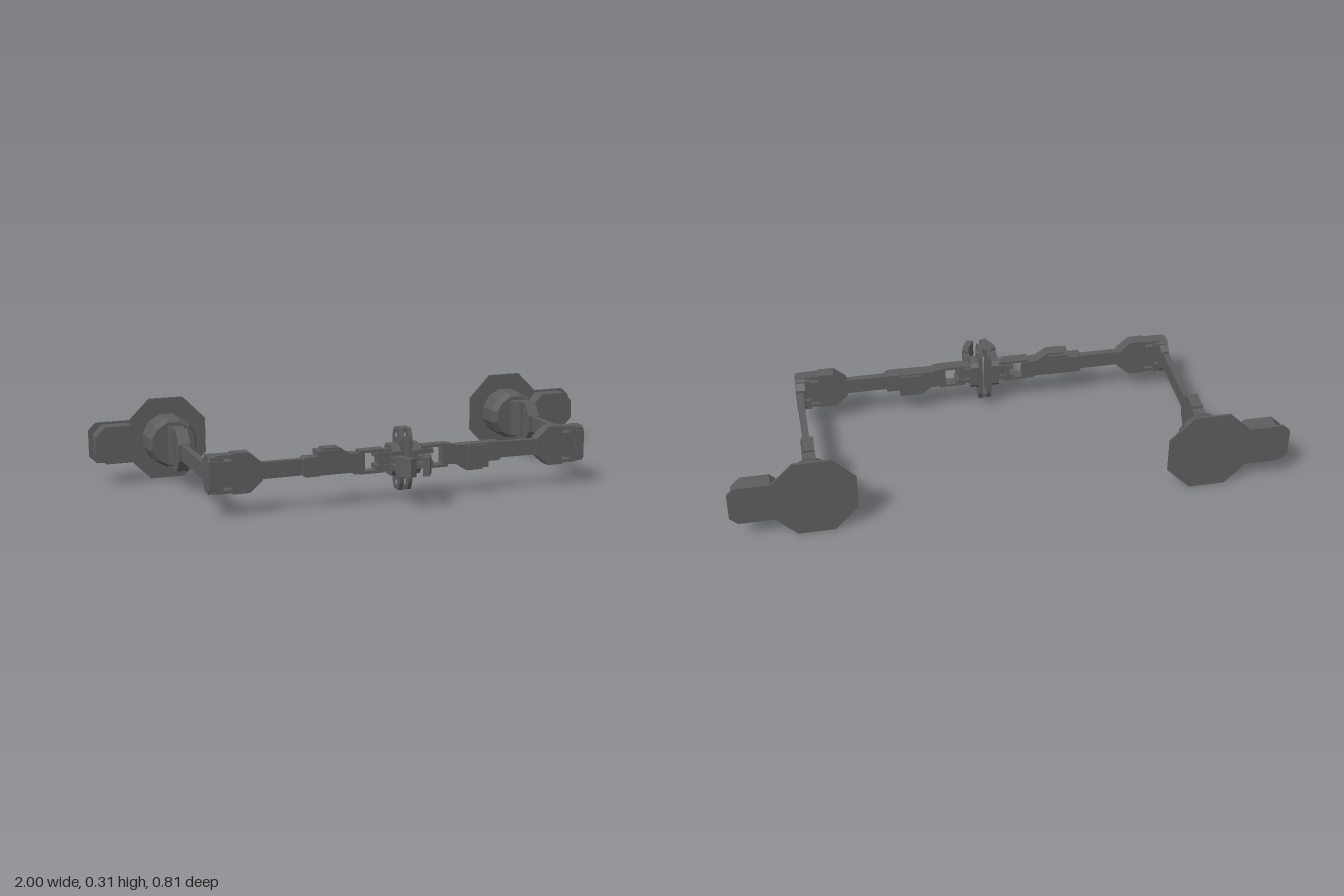
import * as THREE from 'three';

const gunmetal = new THREE.MeshStandardMaterial({ color: 0x5c5c5c });
gunmetal.name = 'gunmetal';

const MID_Y = 0.153; // height of the arm axis
const ARM_X = 0.705; // line of the upper arm
const FORE_Z = 0.234; // line of the forearm

function outline(points, holes = []) {
  const shape = new THREE.Shape(points.map(([a, b]) => new THREE.Vector2(a, b)));
  for (const [a, b, w, h] of holes) {
    shape.holes.push(new THREE.Path([
      new THREE.Vector2(a - w, b - h), new THREE.Vector2(a - w, b + h),
      new THREE.Vector2(a + w, b + h), new THREE.Vector2(a + w, b - h)]));
  }
  return shape;
}

// Rectangle with cut corners, by centre and half sizes
function cutRect(a, b, w, h, c) {
  return [[a - w + c, b - h], [a + w - c, b - h], [a + w, b - h + c], [a + w, b + h - c],
    [a + w - c, b + h], [a - w + c, b + h], [a - w, b + h - c], [a - w, b - h + c]];
}

// Upper half of a profile, mirrored across b = 0
function mirrored(half) {
  return [...half, ...half.map(([a, b]) => [a, -b]).reverse()];
}

function createArm() {
  const arm = new THREE.Group();
  const add = (name, geometry) => {
    const mesh = new THREE.Mesh(geometry, gunmetal);
    mesh.name = name;
    arm.add(mesh);
    return mesh;
  };
  const box = (name, x0, x1, y0, y1, z0, z1) =>
    add(name, new THREE.BoxGeometry(x1 - x0, y1 - y0, z1 - z0)
      .translate((x0 + x1) / 2, (y0 + y1) / 2, (z0 + z1) / 2));
  // Profiles extruded between two values along one axis
  const prism = (name, axis, points, from, to, holes) => {
    const g = new THREE.ExtrudeGeometry(outline(points, holes), { depth: to - from, bevelEnabled: false });
    if (axis === 'z') g.translate(0, 0, from); // points are x, y
    if (axis === 'x') g.rotateY(-Math.PI / 2).translate(to, 0, 0); // points are z, y
    if (axis === 'y') g.rotateX(Math.PI / 2).translate(0, to, 0); // points are x, z
    return add(name, g);
  };
  const barrel = (name, axis, r0, r1, from, to, x, y, z, sides) => {
    const g = new THREE.CylinderGeometry(r1, r0, to - from, sides).toNonIndexed();
    g.computeVertexNormals();
    g.rotateY(Math.PI / sides).translate(0, (from + to) / 2, 0);
    if (axis === 'z') g.rotateX(Math.PI / 2);
    return add(name, g.translate(x, y, z));
  };

  // Mounting plate: octagon with a side tab
  prism('mountingPlate', 'z', [
    [0.555, -0.066], [0.64, -0.153], [0.77, -0.153], [0.846, -0.077], [0.972, -0.077], [1, -0.05],
    [1, 0.05], [0.972, 0.077], [0.846, 0.077], [0.77, 0.153], [0.64, 0.153], [0.555, 0.066],
  ], -0.405, -0.396);
  prism('controlBox', 'z', cutRect(0.9, 0, 0.085, 0.07, 0.035), -0.396, -0.335);

  // Round base motor with a bevelled front
  barrel('baseMotor', 'z', 0.096, 0.095, -0.396, -0.315, ARM_X, 0, 0, 12);
  barrel('baseMotorBevel', 'z', 0.095, 0.083, -0.315, -0.287, ARM_X, 0, 0, 12);

  // Shoulder: block, side straps and tapered socket
  box('shoulderBlock', 0.683, 0.727, -0.066, 0.066, -0.287, -0.197);
  for (const s of [-1, 1]) {
    const y = s * 0.071;
    box('shoulderStrap', 0.685, 0.725, y - 0.005, y + 0.005, -0.235, -0.17);
  }
  prism('shoulderSocket', 'x', mirrored([[-0.175, 0.077], [-0.16, 0.077], [-0.12, 0.031]]), 0.683, 0.727);
  box('upperArm', 0.694, 0.717, -0.029, 0.029, -0.125, 0.19);

  // Elbow: end cap on the upper arm, then yoke and socket of the forearm
  prism('elbowCap', 'x', mirrored([[0.175, 0.038], [0.203, 0.067], [0.245, 0.067], [0.262, 0.05]]), 0.684, 0.717);
  box('elbowBlock', 0.63, 0.69, -0.045, 0.045, 0.21, 0.256);
  for (const s of [-1, 1]) {
    const y = s * 0.062;
    box('elbowStrap', 0.61, 0.69, y - 0.006, y + 0.006, 0.212, 0.254);
    box('elbowLug', 0.665, 0.713, s * 0.045 - 0.018, s * 0.045 + 0.018, 0.195, 0.26);
  }
  prism('elbowSocket', 'z', mirrored([[0.525, 0.031], [0.572, 0.072], [0.632, 0.072]]), 0.211, 0.255);
  box('forearm', 0.36, 0.53, -0.029, 0.029, 0.222, 0.246);

  // Stepped wrist motor, hanging off to one side of the axis
  prism('wristCollar', 'z', cutRect(0.345, 0, 0.032, 0.035, 0.006), 0.212, 0.257);
  prism('wristMotor', 'z', [
    [0.15, 0.04], [0.19, 0.04], [0.2, 0.033], [0.32, 0.033], [0.32, -0.03], [0.306, -0.03],
    [0.306, -0.063], [0.245, -0.063], [0.205, -0.036], [0.15, -0.032],
  ], 0.212, 0.256);
  box('wristMotorCase', 0.245, 0.326, -0.055, 0.028, 0.203, 0.265);

  // Open wrist bracket and joint
  for (const s of [-1, 1]) {
    box('wristStrap', 0.075, 0.17, s * 0.038 - 0.005, s * 0.038 + 0.005, 0.214, 0.254);
    box('wristLink', 0.05, 0.11, s * 0.022 - 0.008, s * 0.022 + 0.008, 0.208, 0.26);
  }
  box('wristBridge', 0.075, 0.098, -0.04, 0.04, 0.212, 0.256);
  barrel('wristPin', 'y', 0.018, 0.018, -0.038, 0.038, 0.062, 0, FORE_Z, 8);

  // Palm: tall cut-cornered plate with a square hole near each end
  prism('palmPlate', 'x', mirrored([
    [0.2, 0.07], [0.202, 0.085], [0.214, 0.112], [0.257, 0.112], [0.27, 0.085], [0.274, 0.07],
  ]), 0.009, 0.024, [[0.236, 0.086, 0.008, 0.008], [0.236, -0.086, 0.008, 0.008]]);
  prism('palmBody', 'x', mirrored([[0.2, 0.04], [0.212, 0.055], [0.262, 0.055], [0.28, 0.035]]), 0.022, 0.055);
  for (const s of [-1, 1]) {
    box('palmJaw', 0, 0.012, s * 0.104 - 0.008, s * 0.104 + 0.008, 0.214, 0.257);
  }

  // Finger: two struts and a bent pad
  for (const s of [-1, 1]) {
    prism('fingerStrut', 'y', [[0.036, 0.265], [0.058, 0.265], [0.066, 0.33], [0.056, 0.35], [0.04, 0.335]],
      s * 0.013 - 0.006, s * 0.013 + 0.006);
  }
  prism('fingerPad', 'y', [[0.042, 0.328], [0.066, 0.333], [0.06, 0.358], [0.036, 0.403], [0.012, 0.395], [0.038, 0.35]],
    -0.033, 0.033);
  return arm;
}

export function createModel() {
  const model = new THREE.Group();
  model.name = 'dualRobotArm';
  // The second arm is the first one turned half round about the z axis
  for (const [name, turn] of [['leftArm', 0], ['rightArm', Math.PI]]) {
    const arm = createArm();
    arm.name = name;
    arm.position.y = MID_Y;
    arm.rotation.z = turn;
    model.add(arm);
  }
  return model;
}
